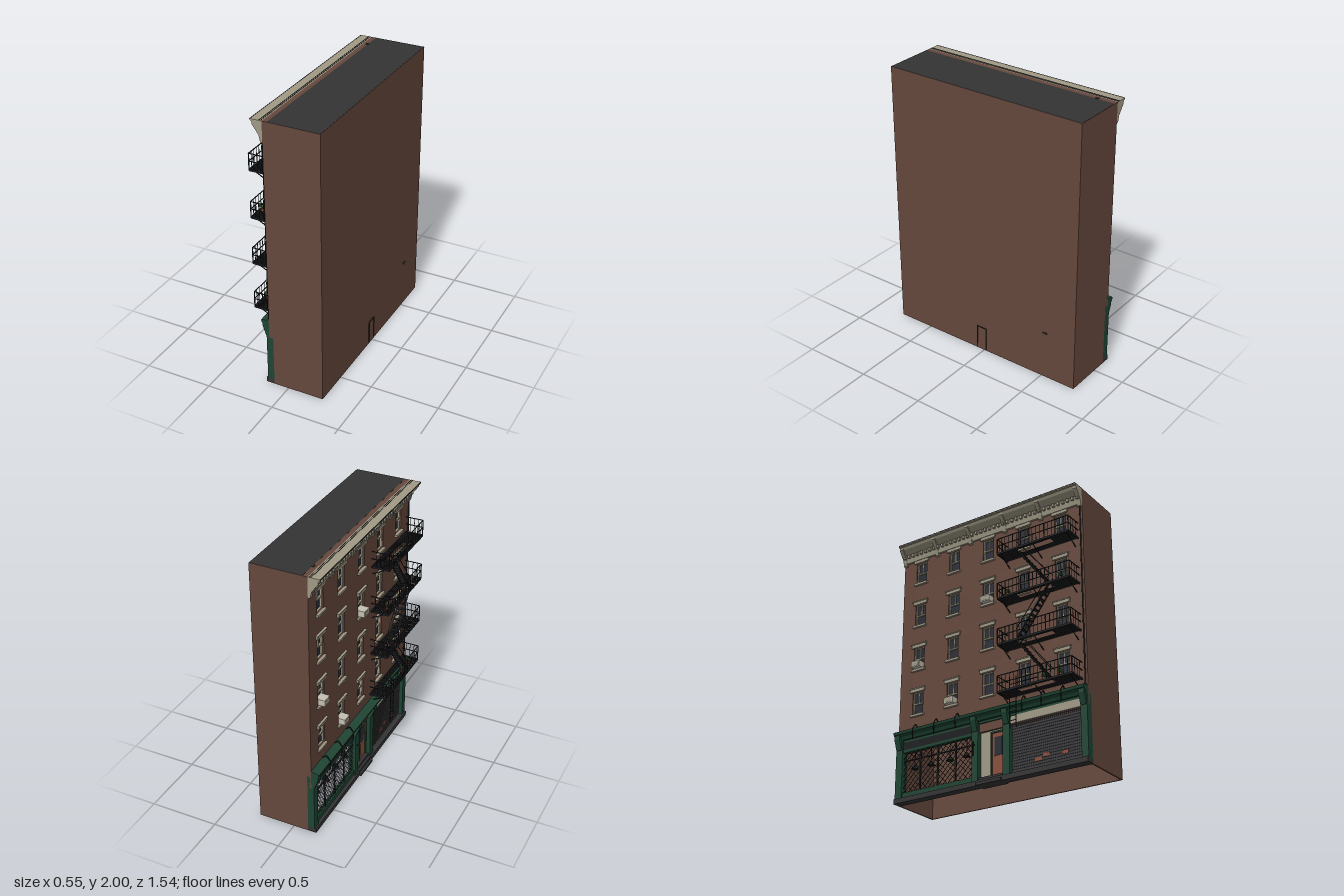
import * as THREE from 'three';
import { mergeGeometries } from 'three/addons/utils/BufferGeometryUtils.js';

const mat = (name, color) => {
  const m = new THREE.MeshStandardMaterial({ color, side: THREE.DoubleSide });
  m.name = name;
  return m;
};

// Box from min/max corners
function box(x0, x1, y0, y1, z0, z1) {
  return new THREE.BoxGeometry(x1 - x0, y1 - y0, z1 - z0)
    .translate((x0 + x1) / 2, (y0 + y1) / 2, (z0 + z1) / 2);
}

// Square bar between two points
function bar(p, q, t = 0.005) {
  const a = new THREE.Vector3(...p), b = new THREE.Vector3(...q);
  const d = b.clone().sub(a);
  const g = new THREE.BoxGeometry(t, d.length(), t);
  g.applyQuaternion(new THREE.Quaternion().setFromUnitVectors(new THREE.Vector3(0, 1, 0), d.normalize()));
  return g.translate((p[0] + q[0]) / 2, (p[1] + q[1]) / 2, (p[2] + q[2]) / 2);
}

// Profile in x,y swept along z
function sweep(points, z0, z1) {
  const s = new THREE.Shape(points.map(p => new THREE.Vector2(...p)));
  return new THREE.ExtrudeGeometry(s, { depth: z1 - z0, bevelEnabled: false }).translate(0, 0, z0);
}

export function createModel() {
  const root = new THREE.Group();
  root.name = 'tenementBuilding';
  const brick = mat('brick', 0x66483c), roofMat = mat('roofing', 0x343434), stone = mat('stone', 0xa09a86);
  const green = mat('greenPaint', 0x1f4534), iron = mat('iron', 0x1d1e21), glass = mat('glass', 0x2a2e36);
  const shutterMat = mat('shutterGrey', 0x3a3a3d), pale = mat('paleMetal', 0xc4c0b2);
  const rust = mat('rustRed', 0x8c4f3c), leaf = mat('leaf', 0x3f5a33);
  const add = (name, material, geos) => {
    const m = new THREE.Mesh(mergeGeometries(geos.map(g => (g.index ? g.toNonIndexed() : g))), material);
    m.name = name;
    root.add(m);
  };

  const W = 0.77, FX = -0.14;
  const cols = [-0.61, -0.31, -0.01, 0.29, 0.59];
  const floors = [0.72, 1.067, 1.415, 1.763];
  const hw = 0.045, hh = 0.085;

  // Hollow shell, open underneath
  add('sideAndRearWalls', brick, [
    box(0.255, 0.265, 0, 2, -W, W),
    box(-0.11, 0.255, 0, 2, -W, -W + 0.01),
    box(-0.11, 0.255, 0, 2, W - 0.01, W),
  ]);
  add('roof', roofMat, [box(-0.105, 0.263, 1.99, 2.001, -W + 0.002, W - 0.002),
    box(-0.12, -0.1, 1.99, 2.004, -0.645, -0.625)]);

  // Brick facade with window openings
  const wall = new THREE.Shape([[-W, 0.38], [W, 0.38], [W, 2], [-W, 2]].map(p => new THREE.Vector2(...p)));
  for (const y of floors) for (const z of cols)
    wall.holes.push(new THREE.Path([[z - hw, y - hh], [z - hw, y + hh], [z + hw, y + hh], [z + hw, y - hh]]
      .map(p => new THREE.Vector2(...p))));
  add('facade', brick, [new THREE.ExtrudeGeometry(wall, { depth: 0.035, bevelEnabled: false })
    .rotateY(-Math.PI / 2).translate(-0.105, 0, 0)]);

  // Windows: panes, sashes, lintels and sills
  const panes = [], sashes = [], trim = [];
  for (const y of floors) for (const z of cols) {
    panes.push(box(-0.117, -0.112, y - hh, y + hh, z - hw, z + hw));
    for (const s of [-1, 1]) {
      sashes.push(box(-0.13, -0.117, y - hh, y + hh, z + s * hw - 0.006, z + s * hw + 0.006));
      sashes.push(box(-0.13, -0.117, y + s * hh - 0.006, y + s * hh + 0.006, z - hw, z + hw));
    }
    sashes.push(box(-0.13, -0.117, y - 0.005, y + 0.005, z - hw, z + hw));
    sashes.push(box(-0.124, -0.117, y, y + hh, z - 0.003, z + 0.003));
    trim.push(box(-0.152, FX, y + hh, y + hh + 0.022, z - 0.062, z + 0.062));
    trim.push(box(-0.157, FX, y + hh + 0.022, y + hh + 0.03, z - 0.067, z + 0.067));
    trim.push(box(-0.157, FX, y - hh - 0.016, y - hh, z - 0.058, z + 0.058));
  }
  add('windowPanes', glass, panes);
  add('windowSashes', stone, sashes);
  add('lintelsAndSills', stone, trim);

  // Roof cornice with brackets and dentils
  add('cornice', stone, [
    sweep([[FX, 1.87], [-0.155, 1.87], [-0.16, 1.9], [-0.165, 1.93], [-0.205, 1.965], [-0.215, 1.985],
      [-0.225, 1.99], [-0.225, 2], [FX, 2]], -W, W),
    ...Array.from({ length: 40 }, (_, i) => {
      const z = -0.75 + i * 1.5 / 39;
      return box(-0.178, -0.155, 1.905, 1.928, z - 0.009, z + 0.009);
    }),
  ]);
  add('corniceBrackets', stone, [-0.755, -0.46, -0.16, 0.14, 0.44, 0.755].map(z =>
    sweep([[FX, 1.85], [-0.155, 1.855], [-0.165, 1.9], [-0.212, 1.965], [-0.212, 1.985], [FX, 1.985]],
      z - 0.015, z + 0.015)));
  add('corniceSeams', iron, [box(-0.164, -0.16, 2, 2.002, -W, W), box(-0.152, -0.149, 2, 2.002, -W, W),
    box(-0.226, -0.222, 1.996, 2.001, -W, W)]);

  // Shop front: pilasters, beams, moulding
  add('shopFrame', green, [
    ...[[-W, -0.715], [-0.125, -0.075], [0.125, 0.18], [0.72, W]].map(([a, b]) => box(-0.16, -0.107, 0.03, 0.47, a, b)),
    box(-0.15, -0.107, 0.44, 0.475, -W, W),
    box(-0.15, -0.115, 0.04, 0.075, -0.715, -0.125),
    box(-0.15, -0.115, 0.365, 0.385, -0.715, -0.125),
    sweep([[FX, 0.455], [-0.165, 0.455], [-0.175, 0.475], [-0.195, 0.49], [-0.2, 0.51], [FX, 0.525]], -W, W),
    ...[-0.745, -0.1, 0.152, 0.745].map(z => sweep([[FX, 0.37], [-0.165, 0.39], [-0.19, 0.46], [-0.19, 0.49],
      [FX, 0.49]], z - 0.022, z + 0.022)),
  ]);
  add('plinth', roofMat, [box(-0.172, -0.107, 0, 0.035, -W, -0.075), box(-0.172, -0.107, 0, 0.035, 0.125, W)]);
  add('shopSignBoard', iron, [box(-0.15, -0.12, 0.385, 0.44, -0.715, -0.125)]);
  add('signPanel', stone, [box(-0.15, -0.115, 0.385, 0.44, 0.18, 0.72)]);

  // Diamond lattice across the open shop window
  const lattice = [], z0 = -0.715, z1 = -0.125, y0 = 0.075, y1 = 0.365, h = y1 - y0;
  for (let c = z0 - h; c < z1; c += 0.042) {
    const a = Math.max(c, z0), b = Math.min(c + h, z1);
    if (b - a < 0.01) continue;
    lattice.push(bar([-0.14, y0 + a - c, a], [-0.14, y0 + b - c, b], 0.003));
    lattice.push(bar([-0.137, y1 - a + c, a], [-0.137, y1 - b + c, b], 0.003));
  }
  for (const z of [-0.57, -0.42, -0.27]) lattice.push(box(-0.143, -0.133, y0, y1, z - 0.005, z + 0.005));
  lattice.push(box(-0.143, -0.133, 0.3, 0.307, z0, z1));
  add('windowGate', iron, lattice);
  add('hangingLamps', iron, [-0.64, -0.5, -0.34, -0.2].flatMap(z => [
    bar([-0.11, 0.37, z], [-0.11, 0.27, z], 0.004),
    new THREE.CylinderGeometry(0.008, 0.028, 0.03, 8).translate(-0.11, 0.26, z),
  ]));
  add('signLamps', iron, [-0.6, -0.42, -0.24, 0.3, 0.45, 0.6].flatMap(z => [
    bar([FX, 0.525, z], [-0.17, 0.55, z], 0.005), bar([-0.17, 0.55, z], [-0.2, 0.51, z], 0.005),
    bar([-0.2, 0.51, z], [-0.195, 0.43, z], 0.005),
  ]));

  // Projecting sign on the post beside the entrance
  add('projectingSign', iron, [box(-0.188, -0.178, 0.21, 0.31, -0.103, -0.097), box(-0.178, -0.16, 0.29, 0.296, -0.103, -0.097)]);

  // Rolling shutter with ribs and paint marks
  add('shutter', shutterMat, [box(-0.128, -0.118, 0.02, 0.385, 0.18, 0.72),
    ...Array.from({ length: 18 }, (_, i) => box(-0.132, -0.128, 0.03 + i * 0.02, 0.038 + i * 0.02, 0.18, 0.72))]);
  add('paintMarks', rust, [[0.36, 0.09], [0.42, 0.11], [0.56, 0.1]].flatMap(([z, y]) => [
    box(-0.135, -0.132, y, y + 0.025, z, z + 0.05), box(-0.117, -0.115, y, y + 0.025, z, z + 0.05)]));

  // Entrance with stoop
  add('entrancePanels', stone, [box(-0.122, -0.112, 0.06, 0.44, -0.075, 0.01), box(-0.122, -0.112, 0.37, 0.44, 0.01, 0.125)]);
  add('entranceDoor', rust, [box(-0.12, -0.112, 0.06, 0.36, 0.015, 0.115)]);
  add('doorGlass', glass, [box(-0.123, -0.11, 0.2, 0.33, 0.035, 0.095)]);
  add('doorFrame', green, [box(-0.13, -0.11, 0.06, 0.37, 0.008, 0.016), box(-0.13, -0.11, 0.06, 0.37, 0.114, 0.125),
    box(-0.13, -0.11, 0.36, 0.37, 0.01, 0.125)]);
  add('stoop', roofMat, [box(-0.15, -0.09, 0, 0.06, -0.075, 0.125), box(-0.168, -0.15, 0, 0.04, -0.075, 0.125),
    box(-0.185, -0.168, 0, 0.02, -0.075, 0.125)]);

  // Fire escape balconies
  const ox = -0.268, a = 0.155, b = 0.73, levels = [0.575, 0.922, 1.27, 1.617];
  const fe = [];
  for (const y of levels) {
    for (let i = 0; i <= 10; i++) {
      const x = ox + i * 0.0125;
      if (i < 3 || i > 6) fe.push(box(x - 0.004, x + 0.004, y - 0.003, y + 0.003, a, b));
      else fe.push(box(x - 0.004, x + 0.004, y - 0.003, y + 0.003, a, 0.29), box(x - 0.004, x + 0.004, y - 0.003, y + 0.003, 0.57, b));
    }
    fe.push(box(ox - 0.004, ox + 0.002, y - 0.01, y + 0.004, a, b));
    for (const r of [0.06, 0.115]) {
      fe.push(bar([ox, y + r, a], [ox, y + r, b]));
      for (const z of [a, b]) fe.push(bar([ox, y + r, z], [FX, y + r, z]));
    }
    for (let i = 0; i <= 18; i++) {
      const z = a + (b - a) * i / 18;
      fe.push(bar([ox, y, z], [ox, y + 0.115, z], i % 6 ? 0.003 : 0.006));
    }
    for (const z of [a, b]) {
      for (let i = 1; i < 4; i++) fe.push(bar([ox + i * 0.032, y, z], [ox + i * 0.032, y + 0.115, z], 0.003));
      fe.push(box(ox, FX, y - 0.01, y + 0.004, z - 0.003, z + 0.003));
    }
    for (const z of [a + 0.02, 0.44, b - 0.02]) fe.push(bar([ox + 0.01, y - 0.005, z], [FX, y - 0.065, z]));
  }
  add('fireEscapeBalconies', iron, fe);

  // Zigzag stairs and the drop ladder
  const stairs = [];
  for (let f = 0; f < 3; f++) {
    const s = f % 2 ? 1 : -1, yb = levels[f], yt = levels[f + 1];
    const zb = 0.43 - s * 0.13, zt = 0.43 + s * 0.13;
    for (const x of [-0.255, -0.2]) {
      stairs.push(bar([x, yb, zb], [x, yt, zt], 0.007));
      stairs.push(bar([x, yb + 0.08, zb], [x, yt + 0.06, zt], 0.004));
    }
    for (let i = 1; i < 11; i++) {
      const t = i / 11, y = yb + (yt - yb) * t, z = zb + (zt - zb) * t;
      stairs.push(box(-0.255, -0.2, y - 0.002, y + 0.002, z - 0.012, z + 0.012));
    }
  }
  add('fireEscapeStairs', iron, stairs);
  const ladder = [0.25, 0.3].map(z => bar([-0.262, 0.3, z], [-0.262, 0.66, z]));
  for (let y = 0.32; y < 0.64; y += 0.032) ladder.push(bar([-0.262, y, 0.25], [-0.262, y, 0.3], 0.004));
  ladder.push(box(-0.275, -0.27, 0.6, 0.606, 0.3, 0.48));
  add('dropLadder', iron, ladder);

  // Potted plants on two balconies
  const spots = [[0.58, 0.62], [0.58, 0.5], [1.274, 0.64], [1.274, 0.22]];
  add('plantPots', rust, spots.map(([y, z]) => new THREE.CylinderGeometry(0.014, 0.01, 0.025, 8).translate(-0.235, y + 0.0125, z)));
  add('plants', leaf, spots.map(([y, z]) => new THREE.IcosahedronGeometry(0.02, 0).translate(-0.235, y + 0.042, z)));

  // Window air conditioners
  const units = [[-0.61, 0.985], [-0.31, 0.637], [-0.01, 1.333]];
  add('airConditioners', pale, units.map(([z, y]) => box(-0.185, -0.115, y, y + 0.045, z - 0.037, z + 0.037)));
  add('airConditionerGrilles', stone, units.map(([z, y]) => box(-0.187, -0.185, y + 0.007, y + 0.038, z - 0.03, z + 0.03)));

  // Downpipe, rear door and wall fittings
  add('downpipe', iron, [new THREE.CylinderGeometry(0.005, 0.005, 1.37, 8).translate(-0.147, 1.195, 0.755)]);
  add('rearDoor', brick, [box(0.264, 0.268, 0.01, 0.185, -0.015, 0.055)]);
  add('rearDoorFrame', iron, [box(0.264, 0.271, 0.01, 0.19, -0.02, -0.015), box(0.264, 0.271, 0.01, 0.19, 0.055, 0.06),
    box(0.264, 0.271, 0.185, 0.19, -0.02, 0.06)]);
  add('rearVent', shutterMat, [box(0.264, 0.273, 0.36, 0.37, -0.545, -0.51)]);
  return root;
}
